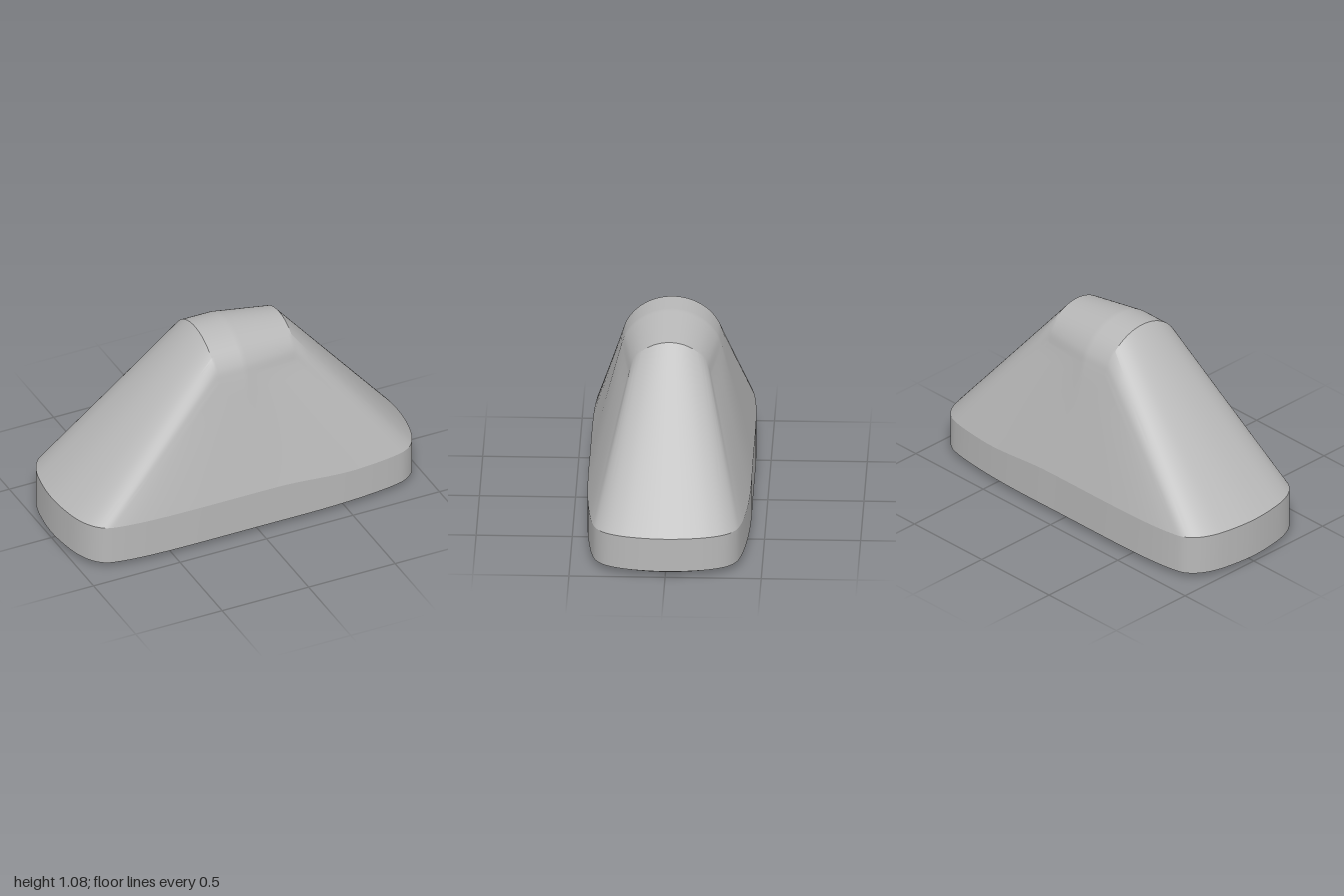
import * as THREE from 'three';
import { mergeGeometries, toCreasedNormals } from 'three/addons/utils/BufferGeometryUtils.js';

const STEPS = 6; // samples per profile segment
const V = (x, y, z) => new THREE.Vector3(x, y, z);

// Skin between rows of points of equal length
function loft(rows, closed) {
  const n = rows[0].length, index = [];
  for (let r = 0; r < rows.length - 1; r++) {
    for (let i = 0; i < (closed ? n : n - 1); i++) {
      const k = (i + 1) % n, a = r * n, b = a + n;
      index.push(a + i, b + i, a + k, b + i, b + k, a + k);
    }
  }
  const g = new THREE.BufferGeometry().setFromPoints(rows.flat());
  g.setIndex(index);
  g.computeVertexNormals();
  return g;
}

const blend = (a, b, t) => a.map((p, i) => p.clone().lerp(b[i], t));

// Half arch [z, y] from crown to foot, mirrored to a smooth back-to-front arch at x
function arch(x, half) {
  const pts = [
    ...half.slice(1).reverse().map(([z, y]) => V(x, y, -z)),
    ...half.map(([z, y]) => V(x, y, z)),
  ];
  return new THREE.CatmullRomCurve3(pts).getPoints((pts.length - 1) * STEPS);
}

// Plan outline, front half, from the right tip to the left tip
const PLAN = [
  [1, 0], [0.99, 0.13], [0.965, 0.24], [0.925, 0.32], [0.87, 0.365], [0.8, 0.387],
  [0.63, 0.41], [0.4, 0.424], [0, 0.425], [-0.6, 0.42],
  [-0.8, 0.4], [-0.87, 0.38], [-0.925, 0.33], [-0.965, 0.25], [-0.99, 0.13], [-1, 0],
];

// Closed outline starting at the back right corner, running right, front, left, back
function outline() {
  const back = PLAN.slice(1, -1).reverse().map(([x, z]) => [x, -z]);
  const loop = [...PLAN, ...back];
  const start = loop.length - 5;
  const pts = loop.map((_, i) => loop[(start + i) % loop.length]).map(([x, z]) => V(x, 0, z));
  return new THREE.CatmullRomCurve3(pts, true).getPoints(pts.length * STEPS).slice(0, -1);
}

export function createModel() {
  const group = new THREE.Group();
  const grey = new THREE.MeshStandardMaterial({ color: 0xb8b8b8 });
  grey.name = 'grey';
  const add = (name, geometry) => {
    const mesh = new THREE.Mesh(geometry, grey);
    mesh.name = name;
    group.add(mesh);
  };

  // Base rings: raised-end underside rim, lower wall edge, stepped upper wall edge
  const plan = outline();
  const rim = plan.map(p => V(p.x * 0.96, 0.013 * THREE.MathUtils.smoothstep(Math.abs(p.x), 0.6, 1), p.z * 0.895));
  const wallLow = plan.map(p => V(p.x, 0.033, p.z));
  const wallTop = plan.map(p => V(p.x, 0.25 - 0.033 * THREE.MathUtils.smoothstep(p.x, 0.1, 0.6), p.z));
  add('baseWall', loft([wallLow, wallTop], true));
  add('baseChamfer', loft([rim, wallLow], true));
  add('underside', loft([rim.map(() => V(0, 0, 0)), rim], true));

  // Arched ridge: level on the left, dipping and narrowing to the right
  const tall = [[0, 1.077], [0.07, 1.068], [0.135, 1.042], [0.195, 0.997], [0.24, 0.935], [0.263, 0.87]];
  const low = [[0, 1.03], [0.06, 1.022], [0.115, 0.999], [0.163, 0.962], [0.195, 0.915], [0.215, 0.85]];
  const right = arch(0.315, low), middle = arch(0, tall), left = arch(-0.17, tall);
  const columns = [];
  for (let i = 0; i <= 5 * STEPS; i++) {
    const t = i / STEPS;
    columns.push(t <= 3 ? blend(right, middle, t / 3) : blend(middle, left, (t - 3) / 2));
  }

  // Ruled slopes from the wall edge up to the border of the ridge
  const border = [
    ...right.slice(0, -1),
    ...columns.slice(0, -1).map(c => c[c.length - 1]),
    ...left.slice(1).reverse(),
    ...columns.slice(1).reverse().map(c => c[0]),
  ];
  const rows = [];
  for (let i = 0; i <= 8; i++) rows.push(blend(wallTop, border, i / 8));
  const hull = mergeGeometries([loft(rows, true), loft(columns, false)]);
  add('slopedHull', toCreasedNormals(hull, 0.5));

  return group;
}
